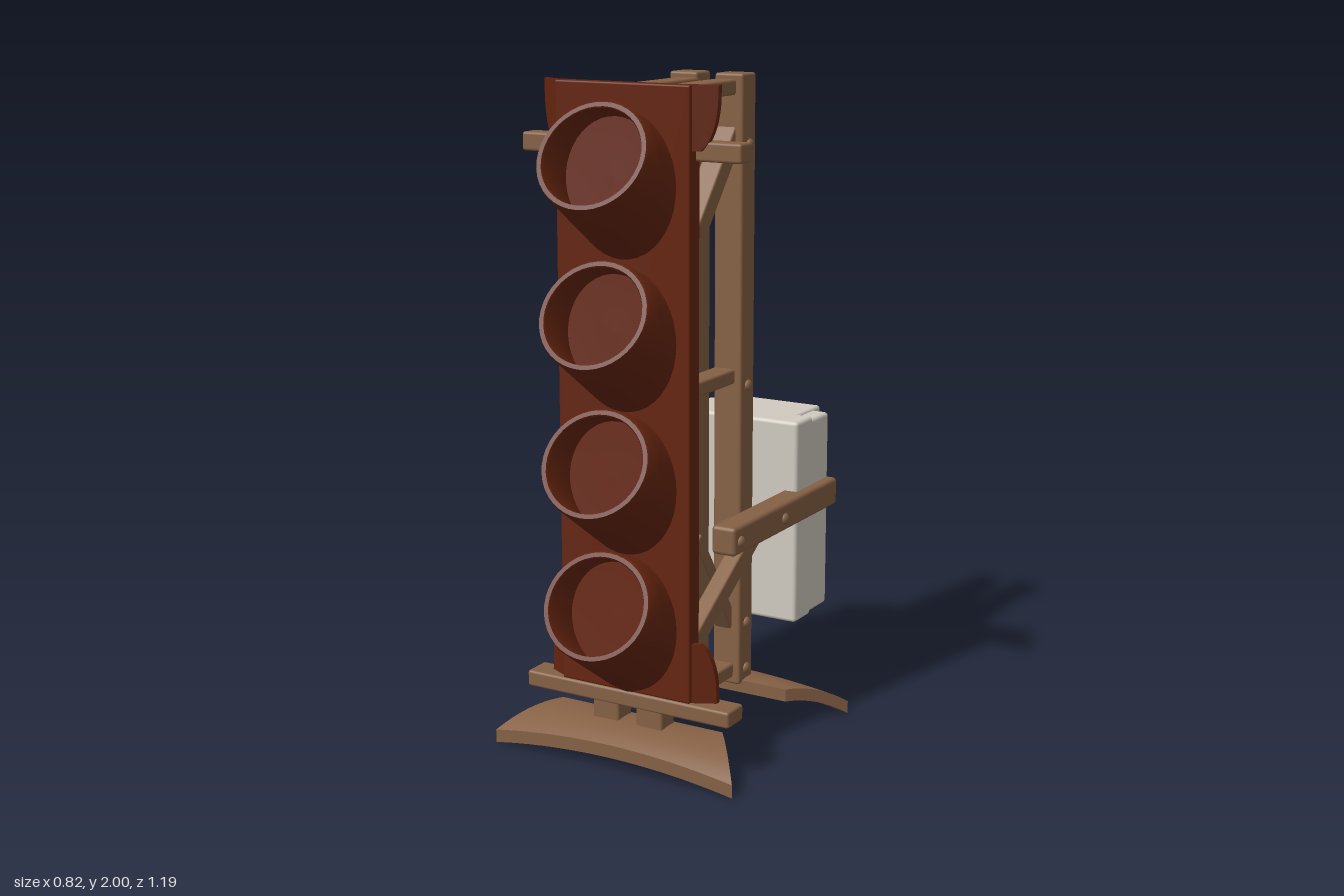
import * as THREE from 'three';
import { toCreasedNormals } from 'three/addons/utils/BufferGeometryUtils.js';
import { RoundedBoxGeometry } from 'three/addons/geometries/RoundedBoxGeometry.js';

const material = (name, color) => {
  const m = new THREE.MeshStandardMaterial({ color });
  m.name = name;
  return m;
};

export function createModel() {
  const model = new THREE.Group();
  const wood = material('wood', 0x856044);
  const rust = material('rustRed', 0x64240f);
  const metal = material('paleMetal', 0xd0cac0);

  const add = (name, geometry, mat) => {
    const mesh = new THREE.Mesh(geometry, mat);
    mesh.name = name;
    model.add(mesh);
    return mesh;
  };
  // Softened box given by its min and max on each axis
  const box = (name, mat, [x0, x1], [y0, y1], [z0, z1], r = 0.008) => {
    const mesh = add(name, new RoundedBoxGeometry(x1 - x0, y1 - y0, z1 - z0, 2, r), mat);
    mesh.position.set((x0 + x1) / 2, (y0 + y1) / 2, (z0 + z1) / 2);
    return mesh;
  };
  // Slanted beam between two [z, y] points
  const strut = (name, x, width, thick, [z0, y0], [z1, y1]) => {
    const length = Math.hypot(z1 - z0, y1 - y0);
    const mesh = add(name, new RoundedBoxGeometry(width, thick, length, 2, 0.006), wood);
    mesh.position.set(x, (y0 + y1) / 2, (z0 + z1) / 2);
    mesh.rotation.x = -Math.atan2(y1 - y0, z1 - z0);
  };
  const bolt = (x, y, z) => {
    const mesh = add('bolt', new THREE.SphereGeometry(0.018, 12, 8), wood);
    mesh.position.set(x, y, z);
    mesh.scale.x = 0.7;
  };

  // Front panel with folded side edges
  box('panel', rust, [-0.22, 0.22], [0.22, 2], [0.32, 0.36], 0.006);
  for (const s of [-1, 1]) {
    const [a, b] = s < 0 ? [-0.22, -0.205] : [0.205, 0.22];
    box('panelEdge', rust, [a, b], [0.22, 2], [0.302, 0.345], 0.005);
  }

  // Swept-back flares on the panel corners
  const flareShape = new THREE.Shape();
  flareShape.moveTo(0.2, 0);
  flareShape.lineTo(0.285, 0);
  flareShape.lineTo(0.283, 0.06);
  flareShape.quadraticCurveTo(0.275, 0.15, 0.24, 0.18);
  flareShape.lineTo(0.2, 0.18);
  const flare = new THREE.ExtrudeGeometry(flareShape, { depth: 0.018, bevelEnabled: false, curveSegments: 8 });
  const fp = flare.attributes.position;
  for (let i = 0; i < fp.count; i++) fp.setZ(i, fp.getZ(i) + 0.338 - (fp.getX(i) - 0.2) * 0.5);
  flare.computeVertexNormals();
  for (const sx of [-1, 1]) for (const sy of [-1, 1]) {
    const mesh = add('panelFlare', flare, rust);
    mesh.scale.set(sx, sy, 1);
    mesh.position.y = sy > 0 ? 0.22 : 2;
  }

  // Open hoods: a lathe sheared from an upright base to an up-tilted mouth
  const mix = THREE.MathUtils.lerp;
  const profile = [[1, 0], [1, 0.5], [1, 0.96], [0.98, 1], [0.9, 1], [0.88, 0.96], [0.86, 0.35], [0, 0.33]];
  const lathe = new THREE.LatheGeometry(profile.map(p => new THREE.Vector2(...p)), 40);
  const hp = lathe.attributes.position;
  for (let i = 0; i < hp.count; i++) {
    const t = hp.getY(i), s = -hp.getZ(i);
    hp.setXYZ(i, hp.getX(i) * mix(0.178, 0.175, t),
      mix(1.7125, 1.8125, t) + s * mix(0.2125, 0.1425, t),
      mix(0.35, 0.515, t) - s * 0.075 * t);
  }
  lathe.deleteAttribute('normal');
  const hood = toCreasedNormals(lathe, 0.6);
  for (const drop of [0, 0.44, 0.865, 1.285]) add('hood', hood, rust).position.y = -drop;

  // Timber frame, mirrored left and right
  for (const s of [-1, 1]) {
    const span = (a, b) => (s > 0 ? [a, b] : [-b, -a]);
    box('post', wood, span(0.03, 0.125), [0.105, 2], [-0.195, -0.112]);
    for (const y of [0.15, 1.092, 1.96])
      box('frameBeam', wood, span(0.03, 0.102), [y - 0.023, y + 0.023], [-0.13, 0.325]);
    strut('upperBrace', s * 0.066, 0.072, 0.06, [-0.14, 1.83], [0.325, 1.26]);
    strut('lowerBrace', s * 0.145, 0.055, 0.06, [-0.18, 0.62], [0.32, 0.295]);
    strut('kneeBrace', s * 0.066, 0.06, 0.045, [-0.15, 0.27], [0.09, 0.63]);
    box('sideArm', wood, span(0.17, 0.25), [0.612, 0.7], [-0.53, 0.147], 0.012);
    box('footBlock', wood, span(0.03, 0.12), [0.1, 0.175], [0.275, 0.35]);
    for (const y of [0.15, 0.3, 1.06, 1.79]) bolt(s * 0.125, y, -0.155);
    for (const z of [0.11, -0.17]) bolt(s * 0.25, 0.652, z);
  }
  box('upperCrossbar', wood, [-0.36, 0.36], [1.79, 1.845], [0.258, 0.323]);
  box('lowerCrossbar', wood, [-0.355, 0.345], [0.165, 0.215], [0.262, 0.352]);

  // Curved feet, widening and dropping outward
  const foot = new THREE.BoxGeometry(2, 1, 1, 20, 1, 8);
  const p = foot.attributes.position;
  for (let i = 0; i < p.count; i++) {
    const u = p.getX(i), v = p.getZ(i) + 0.5, top = p.getY(i) > 0 ? 0.04 : 0;
    p.setXYZ(i, u * (0.28 + 0.13 * v), 0.075 - 0.072 * v * v + 0.035 * (1 - u * u) * v + top, 0.175 * v);
  }
  foot.computeVertexNormals();
  add('frontFoot', foot, wood).position.z = 0.27;
  const backFoot = add('backFoot', foot, wood);
  backFoot.position.z = -0.13;
  backFoot.rotation.y = Math.PI;

  // Control box on the back
  box('cabinetFront', metal, [-0.22, 0.22], [0.268, 0.922], [-0.412, -0.303], 0.012);
  box('cabinetBody', metal, [-0.218, 0.218], [0.275, 0.912], [-0.527, -0.39], 0.012);
  box('cabinetDoor', metal, [-0.167, 0.167], [0.27, 0.92], [-0.568, -0.4], 0.01);
  box('latchPlate', metal, [-0.095, -0.035], [0.67, 0.735], [-0.576, -0.56], 0.004);
  const knob = add('latchKnob', new THREE.CylinderGeometry(0.025, 0.025, 0.04, 16), metal);
  knob.position.set(-0.065, 0.702, -0.58);
  knob.rotation.x = Math.PI / 2;
  box('slot', metal, [-0.05, 0.08], [0.572, 0.582], [-0.573, -0.56], 0.003);
  const lock = add('lock', new THREE.TorusGeometry(0.022, 0.008, 8, 20), metal);
  lock.position.set(0.02, 0.46, -0.568);

  return model;
}
